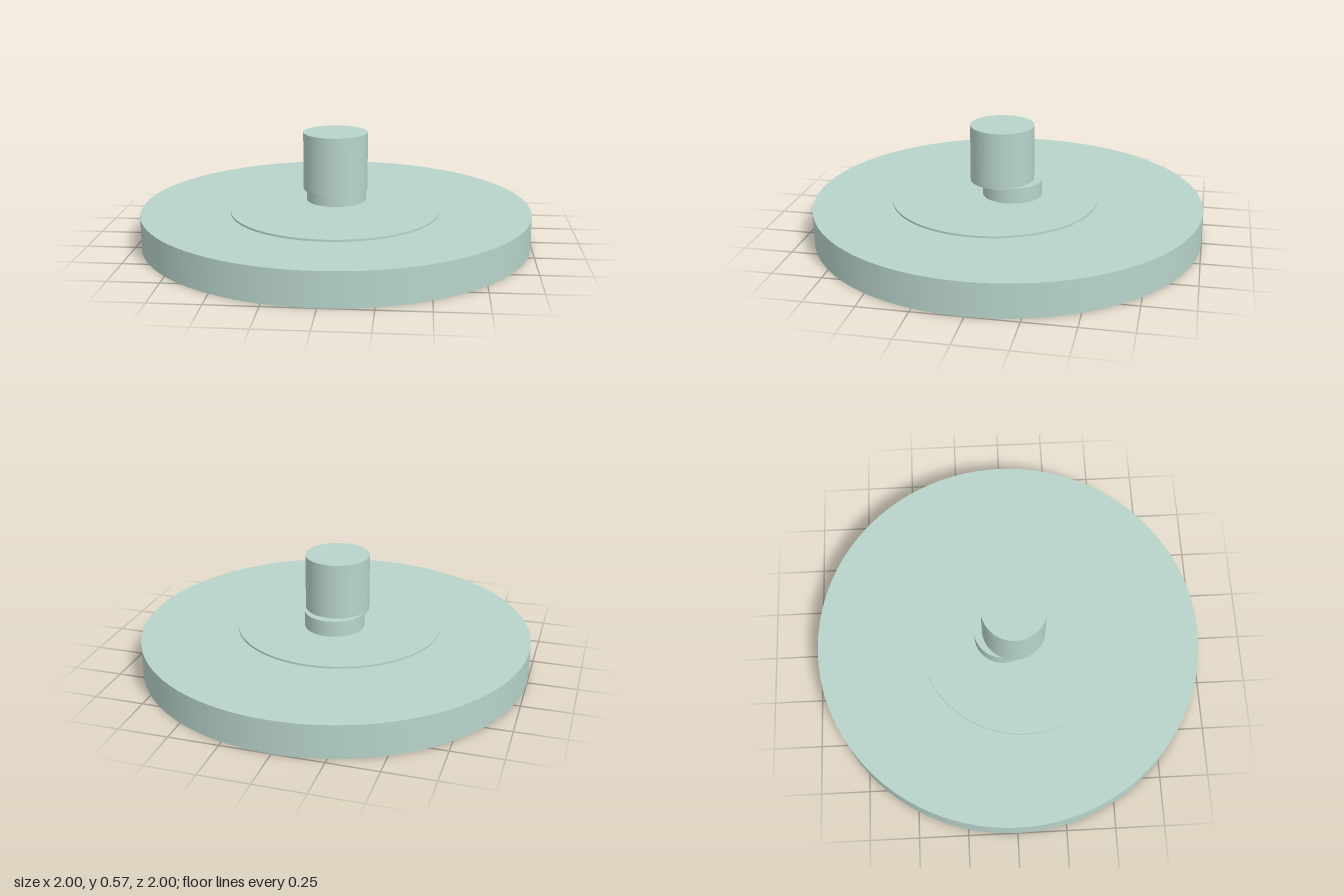
import * as THREE from 'three';

export function createModel() {
  const group = new THREE.Group();
  const material = new THREE.MeshStandardMaterial({ color: 0xb8d4ca });

  // Upright solid disc from y0 to y1, shifted along z
  function addDisc(name, radius, y0, y1, z) {
    const geometry = new THREE.CylinderGeometry(radius, radius, y1 - y0, 96);
    const mesh = new THREE.Mesh(geometry, material);
    mesh.name = name;
    mesh.position.set(0, (y0 + y1) / 2, z);
    group.add(mesh);
  }

  addDisc('base', 1, 0, 0.17, 0);
  // Thin raised plate, set towards the front
  addDisc('plate', 0.53, 0.17, 0.18, 0.068);
  // Collar hovers just above the plate, offset to the back
  addDisc('collar', 0.153, 0.203, 0.285, -0.024);
  // Knob overlaps the collar, offset to the front
  addDisc('knob', 0.164, 0.277, 0.57, 0.029);

  return group;
}
